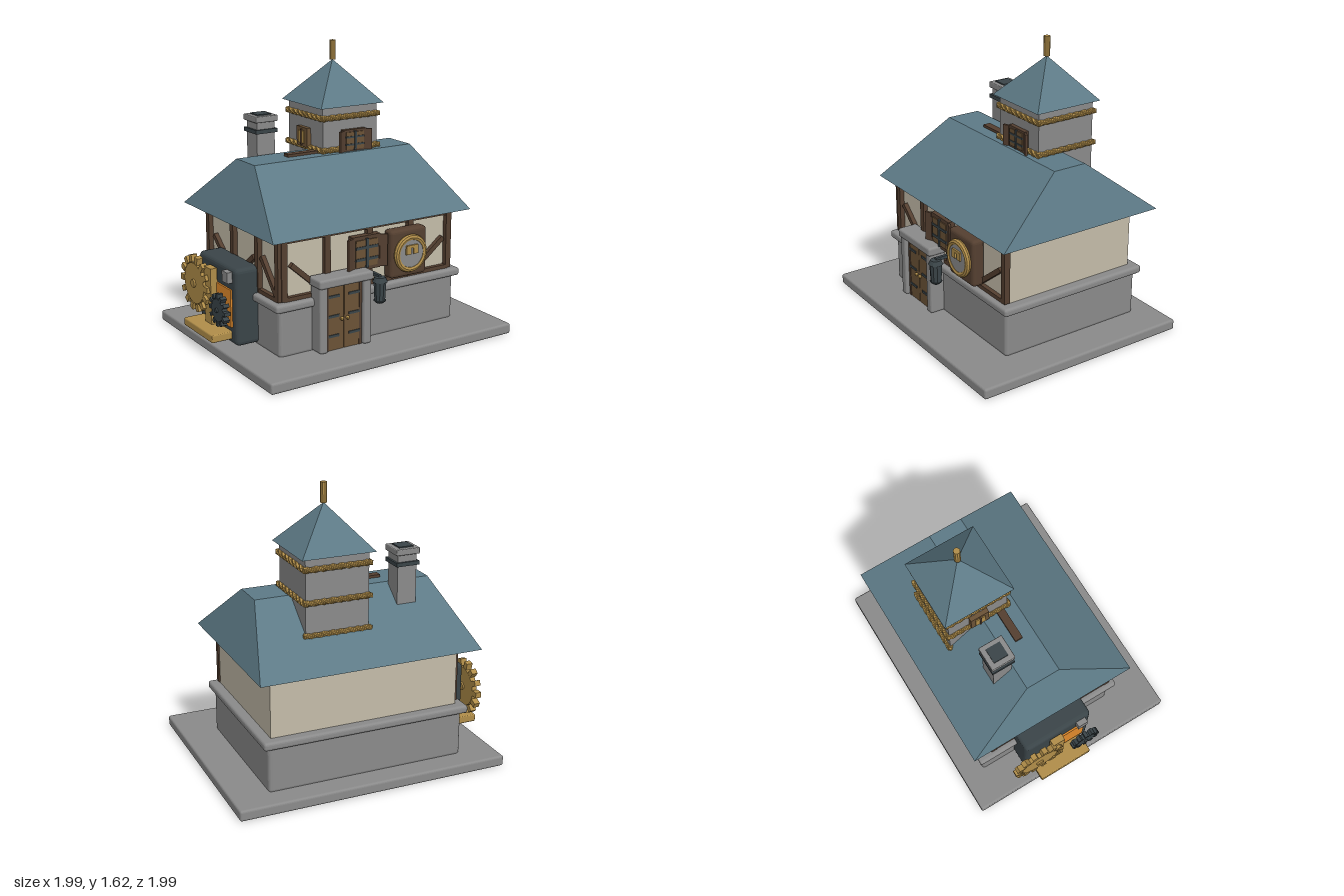
import * as THREE from 'three';
import { RoundedBoxGeometry } from 'three/addons/geometries/RoundedBoxGeometry.js';

const mat = (name, color) => Object.assign(new THREE.MeshStandardMaterial({ color, flatShading: true }), { name });

export function createModel() {
  const stone = mat('stone grey', 0x8a8a8a);
  const plaster = mat('cream plaster', 0xc4bca9);
  const slate = mat('blue slate', 0x5d7a86);
  const brass = mat('brass', 0xb08d49);
  const wood = mat('dark timber', 0x543f30);
  const plank = mat('plank brown', 0x6b5236);
  const iron = mat('dark iron', 0x3a4448);
  const glow = mat('furnace orange', 0xe08a2c);

  const group = (name, parent, x = 0, y = 0, z = 0, ry = 0) => {
    const g = new THREE.Group();
    g.name = name;
    g.position.set(x, y, z);
    g.rotation.y = ry;
    parent.add(g);
    return g;
  };
  const add = (parent, name, geo, m, x = 0, y = 0, z = 0) => {
    const mesh = new THREE.Mesh(geo, m);
    mesh.name = name;
    mesh.position.set(x, y, z);
    parent.add(mesh);
    return mesh;
  };
  const box = (p, name, m, w, h, d, x, y, z) => add(p, name, new THREE.BoxGeometry(w, h, d), m, x, y, z);
  const rbox = (p, name, m, w, h, d, x, y, z, r = 0.012) =>
    add(p, name, new RoundedBoxGeometry(w, h, d, 2, r), m, x, y, z);
  // Cylinder whose axis points along z
  const disc = (p, name, m, r, depth, x, y, z, sides = 24) =>
    add(p, name, new THREE.CylinderGeometry(r, r, depth, sides).rotateX(Math.PI / 2), m, x, y, z);

  // Rectangular frustum with its own flat faces
  const frustum = (bw, bd, tw, td, h) => {
    const geo = new THREE.BoxGeometry(bw, h, bd);
    const p = geo.attributes.position;
    for (let i = 0; i < p.count; i++) {
      if (p.getY(i) > 0) p.setXYZ(i, Math.sign(p.getX(i)) * tw / 2, h / 2, Math.sign(p.getZ(i)) * td / 2);
    }
    geo.computeVertexNormals();
    return geo;
  };

  // Square bar twisted along x like a rope
  const rope = (length, size) => {
    const n = 36;
    const geo = new THREE.BoxGeometry(length, size, size, n, 1, 1);
    const p = geo.attributes.position;
    for (let i = 0; i < p.count; i++) {
      const a = (p.getX(i) / length) * Math.PI * 4, y = p.getY(i), z = p.getZ(i);
      p.setY(i, y * Math.cos(a) - z * Math.sin(a));
      p.setZ(i, y * Math.sin(a) + z * Math.cos(a));
    }
    geo.computeVertexNormals();
    return geo;
  };

  const root = new THREE.Group();
  root.name = 'workshopHouse';
  const house = group('house', root, 0, 0, 0, Math.PI / 4);
  const cz = -0.07;

  // Ground slab and walls
  rbox(house, 'groundSlab', stone, 1.556, 0.06, 1.273, 0, 0.03, 0);
  rbox(house, 'stoneWall', stone, 1.14, 0.27, 0.87, 0, 0.185, cz, 0.02);
  rbox(house, 'stoneSill', stone, 1.2, 0.045, 0.92, 0, 0.332, cz, 0.015);
  box(house, 'plasterWall', plaster, 1.09, 0.35, 0.81, 0, 0.53, cz);

  // Hipped roof with a flat top
  add(house, 'mainRoof', frustum(1.272, 1.01, 1.02, 0.2, 0.315), slate, 0, 0.8575, -0.08);

  // Timber frames on the front and machine walls
  const timber = (face, posts, braces) => {
    posts.forEach((x) => box(face, 'timberPost', wood, 0.035, 0.34, 0.035, x, 0.53, 0));
    const w = posts[posts.length - 1] - posts[0];
    const mid = (posts[0] + posts[posts.length - 1]) / 2;
    box(face, 'bottomRail', wood, w, 0.022, 0.03, mid, 0.367, 0);
    box(face, 'topRail', wood, w, 0.03, 0.03, mid, 0.685, 0);
    braces.forEach(([x0, y0, x1, y1]) => {
      const b = box(face, 'timberBrace', wood, Math.hypot(x1 - x0, y1 - y0), 0.028, 0.025,
        (x0 + x1) / 2, (y0 + y1) / 2, 0.002);
      b.rotation.z = Math.atan2(y1 - y0, x1 - x0);
    });
  };
  const front = group('frontFace', house, 0, 0, 0.345);
  timber(front, [-0.535, -0.27, 0, 0.27, 0.535],
    [[-0.49, 0.55, -0.31, 0.39], [0.31, 0.39, 0.5, 0.54]]);
  const side = group('machineFace', house, -0.555, 0, 0, -Math.PI / 2);
  timber(side, [-0.425, -0.14, 0.13, 0.34],
    [[-0.36, 0.55, -0.17, 0.39], [-0.11, 0.39, 0.09, 0.54], [0.17, 0.56, 0.32, 0.39]]);

  // Double door in a stone frame
  const door = group('door', house, -0.21, 0, 0.4);
  for (const s of [-1, 1]) {
    rbox(door, 'doorJamb', stone, 0.05, 0.38, 0.1, s * 0.138, 0.25, 0);
    box(door, 'doorLeaf', plank, 0.108, 0.36, 0.05, s * 0.056, 0.24, 0);
    box(door, 'doorEdge', wood, 0.016, 0.36, 0.056, s * 0.104, 0.24, 0);
    for (const y of [0.14, 0.25, 0.36]) box(door, 'doorHinge', iron, 0.07, 0.014, 0.06, s * 0.065, y, 0);
    add(door, 'doorKnob', new THREE.SphereGeometry(0.011, 8, 6), brass, s * 0.018, 0.23, 0.034);
  }
  rbox(door, 'doorLintel', stone, 0.34, 0.05, 0.12, 0, 0.445, 0);

  // Lantern beside the door
  const lantern = group('lantern', house, 0.007, 0, 0.446);
  add(lantern, 'lanternBody', new THREE.CylinderGeometry(0.036, 0.03, 0.11, 10), iron, 0, 0.345, 0);
  add(lantern, 'lanternCap', new THREE.CylinderGeometry(0.03, 0.042, 0.025, 10), iron, 0, 0.41, 0);
  add(lantern, 'lanternFoot', new THREE.CylinderGeometry(0.036, 0.02, 0.015, 10), iron, 0, 0.285, 0);
  box(lantern, 'lanternBracket', iron, 0.018, 0.018, 0.1, 0, 0.425, -0.05);

  // Shuttered window, facing +z
  const windowUnit = (parent, x, y, z, w, h, ry, frameMat) => {
    const g = group('window', parent, x, y, z, ry);
    box(g, 'windowFrame', frameMat, w, h, 0.04, 0, 0, 0);
    box(g, 'windowPane', plank, w * 0.78, h * 0.78, 0.008, 0, 0, 0.022);
    box(g, 'windowMullion', iron, w * 0.09, h * 0.86, 0.012, 0, 0, 0.025);
    for (const s of [-1, 1]) {
      box(g, 'windowBar', iron, w * 0.8, h * 0.08, 0.012, 0, s * h * 0.17, 0.024);
      const shutter = box(g, 'shutter', wood, w * 0.24, h * 0.94, 0.014, s * w * 0.6, 0, 0.025);
      shutter.rotation.y = -s * 0.4;
    }
    return g;
  };
  windowUnit(house, -0.04, 0.55, 0.365, 0.18, 0.19, 0, wood);

  // Clock on a timber panel
  const clock = group('clock', house, 0.22, 0.515, 0.38);
  rbox(clock, 'clockPanel', wood, 0.24, 0.27, 0.075, 0, 0, 0, 0.02);
  const ring = new THREE.RingGeometry(0, 1);
  ring.dispose();
  disc(clock, 'clockFace', stone, 0.08, 0.03, 0, 0, 0.045);
  add(clock, 'clockRim', new THREE.TorusGeometry(0.09, 0.017, 8, 28), brass, 0, 0, 0.05);
  box(clock, 'clockPlate', brass, 0.075, 0.016, 0.012, 0, 0.042, 0.064);
  for (const x of [-0.024, 0.024]) box(clock, 'clockMark', brass, 0.032, 0.045, 0.012, x, 0.022, 0.064);

  // Boiler and gear machine on the side wall
  const machine = group('machine', house, -0.7, 0, 0, -Math.PI / 2);
  rbox(machine, 'boiler', iron, 0.43, 0.43, 0.15, -0.075, 0.285, -0.075, 0.025);
  box(machine, 'furnaceMouth', glow, 0.2, 0.21, 0.012, -0.005, 0.275, 0.004);
  box(machine, 'boilerBracket', stone, 0.06, 0.06, 0.04, 0.07, 0.45, 0.01);
  rbox(machine, 'machineTray', brass, 0.335, 0.045, 0.15, -0.083, 0.122, 0.045, 0.008);
  box(machine, 'machinePost', brass, 0.075, 0.32, 0.04, -0.1, 0.3, 0.025);

  const gear = (name, m, hubMat, x, y, z, r, teeth, size) => {
    const g = group(name, machine, x, y, z);
    disc(g, 'gearDisc', m, r, 0.03, 0, 0, 0, 32);
    disc(g, 'gearHub', hubMat, r * 0.2, 0.05, 0, 0, 0, 12);
    for (let i = 0; i < teeth; i++) {
      const a = (i / teeth) * Math.PI * 2;
      const t = box(g, 'gearTooth', m, size * 1.25, size, 0.035,
        Math.cos(a) * (r + size * 0.75), Math.sin(a) * (r + size * 0.75), 0);
      t.rotation.z = a;
    }
  };
  gear('largeGear', brass, brass, -0.235, 0.335, 0.045, 0.115, 14, 0.032);
  gear('smallGear', iron, iron, 0.07, 0.275, 0.064, 0.062, 12, 0.02);

  // Chimney
  const chimney = group('chimney', house, -0.318, 0, -0.247);
  box(chimney, 'chimneyShaft', stone, 0.112, 0.4, 0.112, 0, 1.0, 0);
  box(chimney, 'chimneyBand', iron, 0.135, 0.022, 0.135, 0, 1.145, 0);
  rbox(chimney, 'chimneyCap', stone, 0.14, 0.035, 0.14, 0, 1.213, 0, 0.006);
  box(chimney, 'chimneyFlue', iron, 0.085, 0.012, 0.085, 0, 1.231, 0);

  // Ridge beam beside the tower
  box(house, 'ridgeBeam', wood, 0.22, 0.03, 0.045, -0.15, 1.015, -0.075);

  // Tower with rope mouldings
  const tower = group('tower', house, 0.127, 0, -0.205);
  box(tower, 'towerWall', stone, 0.36, 0.5, 0.36, 0, 1.03, 0);
  for (const y of [0.85, 1.03, 1.21]) {
    for (let i = 0; i < 4; i++) {
      const arm = group('ropeMoulding', tower, 0, y, 0, i * Math.PI / 2);
      add(arm, 'rope', rope(0.385, 0.025), brass, 0, 0, 0.184);
    }
  }
  add(tower, 'towerRoof', frustum(0.417, 0.417, 0.001, 0.001, 0.235), slate, 0, 1.3875, 0);
  add(tower, 'finial', new THREE.CylinderGeometry(0.018, 0.018, 0.11, 10), brass, 0, 1.56, 0);
  windowUnit(tower, 0.015, 1.075, 0.185, 0.15, 0.125, 0, wood);
  const sideWindow = group('sideWindow', tower, -0.185, 1.085, 0.0, -Math.PI / 2);
  box(sideWindow, 'sideWindowFrame', plank, 0.11, 0.11, 0.04, 0, 0, 0);
  box(sideWindow, 'sideWindowPane', brass, 0.06, 0.07, 0.008, 0, 0, 0.022);
  box(sideWindow, 'sideWindowBar', wood, 0.01, 0.09, 0.01, 0, 0, 0.024);

  return root;
}
